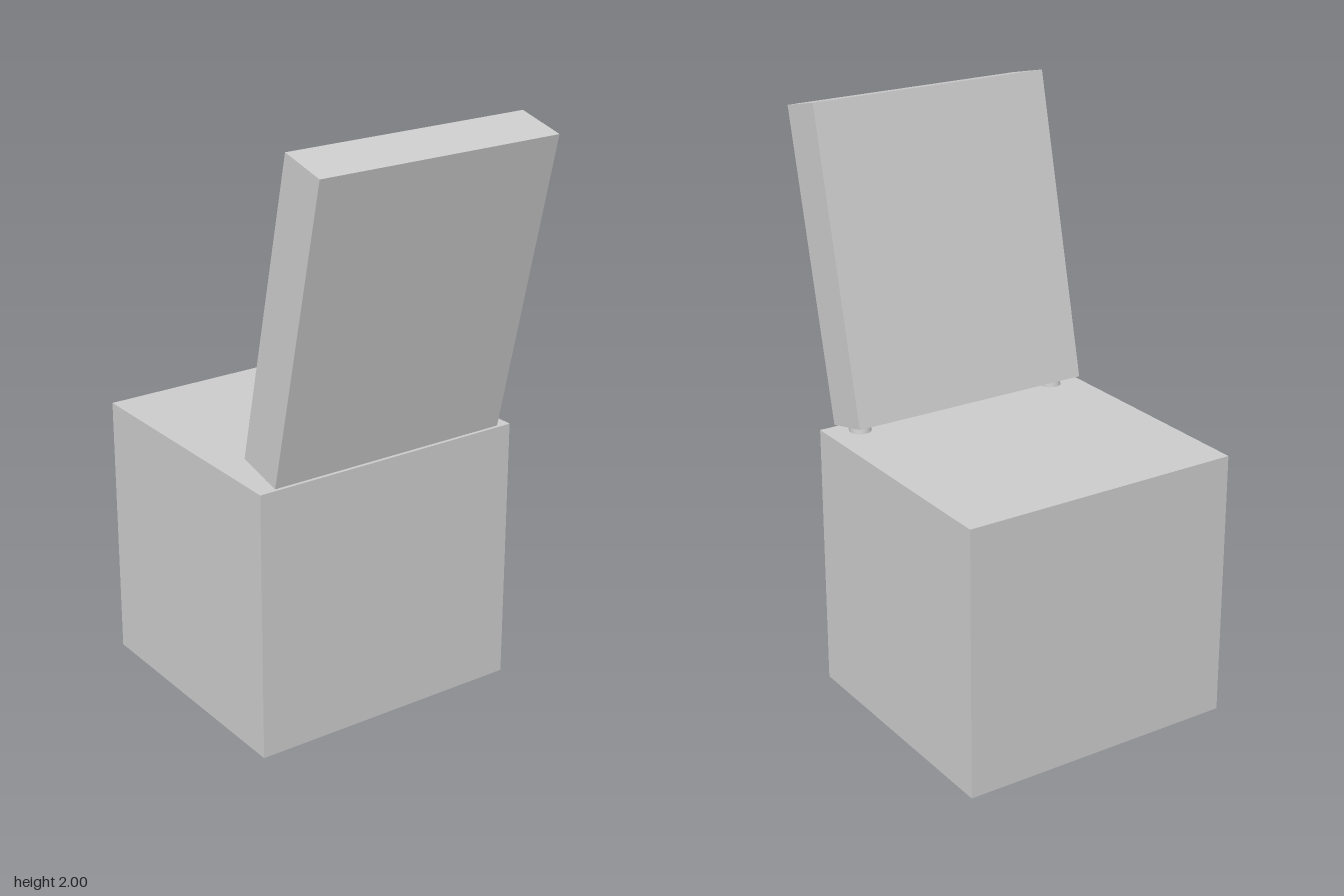
import * as THREE from 'three';

export function createModel() {
  const model = new THREE.Group();
  const material = new THREE.MeshStandardMaterial({ color: 0xcccccc });

  const addPart = (name, geometry, x, y, z, tilt = 0) => {
    const mesh = new THREE.Mesh(geometry, material);
    mesh.name = name;
    mesh.position.set(x, y, z);
    mesh.rotation.x = tilt;
    model.add(mesh);
  };

  const tilt = 0.23; // forward lean of the panel

  // Solid cube base
  addPart('base', new THREE.BoxGeometry(0.98, 0.925, 0.91), 0, 0.4625, -0.12);

  // Leaning upright panel, standing on the front edge of the base
  addPart('panel', new THREE.BoxGeometry(0.872, 1.053, 0.175), 0, 1.464, 0.37, tilt);

  // Pegs joining panel and base
  for (const side of [-1, 1]) {
    addPart(side > 0 ? 'leftPeg' : 'rightPeg',
      new THREE.CylinderGeometry(0.037, 0.037, 0.07, 24), side * 0.38, 0.93, 0.263, tilt);
  }

  return model;
}
